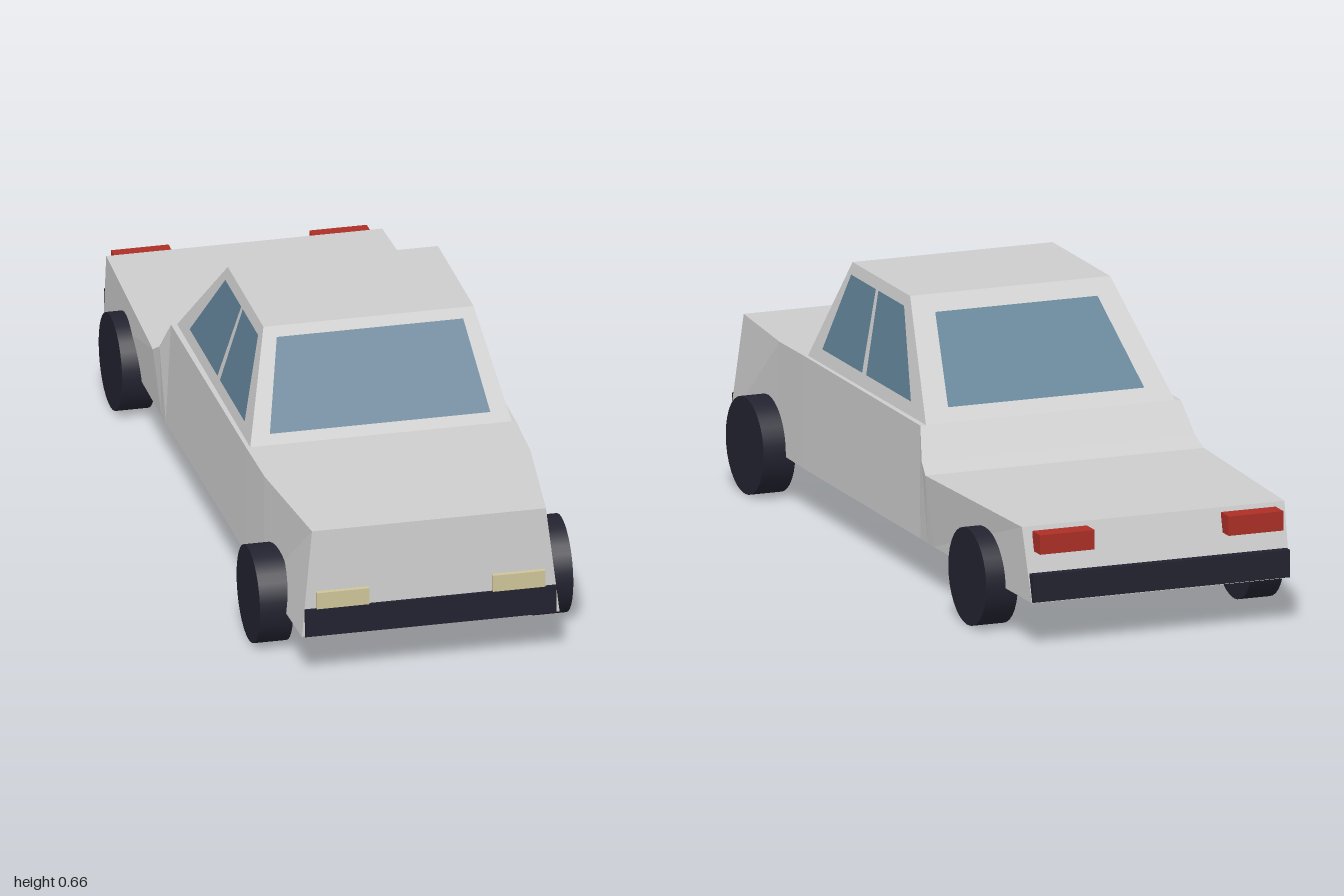
import * as THREE from 'three';

const mat = (name, color) => {
  const m = new THREE.MeshStandardMaterial({ color });
  m.name = name;
  return m;
};

// Flat-shaded geometry from four-cornered faces, corners counter-clockwise
function quads(faces) {
  const pos = [];
  for (const [a, b, c, d] of faces) pos.push(...a, ...b, ...c, ...a, ...c, ...d);
  const g = new THREE.BufferGeometry();
  g.setAttribute('position', new THREE.Float32BufferAttribute(pos, 3));
  g.computeVertexNormals();
  return g;
}

// Loft four-cornered sections from front to back.
// Section: [bottom z, bottom half width, top z, top half width, top y]
function loft(yBottom, sections) {
  const rings = sections.map(([zb, wb, zt, wt, yt]) => [
    [-wb, yBottom, zb], [wb, yBottom, zb], [wt, yt, zt], [-wt, yt, zt],
  ]);
  const faces = [rings[0], [...rings[rings.length - 1]].reverse()];
  for (let i = 0; i < rings.length - 1; i++) {
    for (let k = 0; k < 4; k++) {
      const n = (k + 1) % 4;
      faces.push([rings[i][k], rings[i + 1][k], rings[i + 1][n], rings[i][n]]);
    }
  }
  return quads(faces);
}

// Thin pane lifted slightly off the surface it lies on
function pane(corners, lift = 0.003) {
  const [a, b, c] = corners.map((p) => new THREE.Vector3(...p));
  const n = b.clone().sub(a).cross(c.clone().sub(a)).normalize().multiplyScalar(lift);
  return quads([corners.map(([x, y, z]) => [x + n.x, y + n.y, z + n.z])]);
}

export function createModel() {
  const paint = mat('silver paint', 0xcccccc);
  const glass = mat('blue glass', 0x5f7f94);
  const dark = mat('dark rubber', 0x222230);
  const lamp = mat('cream lamp', 0xcec498);
  const red = mat('red lamp', 0xac2f27);

  const car = new THREE.Group();
  car.name = 'car';
  const add = (name, geometry, material) => {
    const mesh = new THREE.Mesh(geometry, material);
    mesh.name = name;
    car.add(mesh);
    return mesh;
  };
  const box = (name, material, x, [y0, y1], [z0, z1], width) =>
    add(name, new THREE.BoxGeometry(width, y1 - y0, z1 - z0), material)
      .position.set(x, (y0 + y1) / 2, (z0 + z1) / 2);

  // Lower body: bonnet, shoulder and the dropped rear deck
  add('body', loft(0.115, [
    [0.995, 0.325, 0.977, 0.295, 0.387],
    [0.65, 0.335, 0.65, 0.335, 0.396],
    [0.48, 0.34, 0.48, 0.34, 0.4],
    [-0.28, 0.345, -0.28, 0.345, 0.4],
    [-0.33, 0.346, -0.33, 0.362, 0.322],
    [-0.37, 0.347, -0.37, 0.369, 0.297],
    [-0.99, 0.342, -0.94, 0.348, 0.297],
  ]), paint);

  // Cabin
  add('cabin', loft(0.399, [
    [0.48, 0.33, 0.35, 0.265, 0.66],
    [-0.28, 0.33, -0.02, 0.265, 0.66],
  ]), paint);

  // Front and rear glass
  const frontZ = (y) => 0.48 - (y - 0.4) * 0.5;
  const rearZ = (y) => -0.28 + (y - 0.4);
  add('windscreen', pane([
    [-0.278, 0.425, frontZ(0.425)], [0.278, 0.425, frontZ(0.425)],
    [0.235, 0.635, frontZ(0.635)], [-0.235, 0.635, frontZ(0.635)],
  ]), glass);
  add('rearWindow', pane([
    [0.26, 0.43, rearZ(0.43)], [-0.26, 0.43, rearZ(0.43)],
    [-0.215, 0.622, rearZ(0.622)], [0.215, 0.622, rearZ(0.622)],
  ]), glass);

  for (const [side, s] of [['left', 1], ['right', -1]]) {
    // Side windows as z at bottom front, bottom rear, top rear, top front
    const windows = { FrontWindow: [0.4, 0.144, 0.176, 0.335], RearWindow: [0.118, -0.17, -0.005, 0.16] };
    for (const [name, zs] of Object.entries(windows)) {
      const corners = zs.map((z, i) => {
        const y = i < 2 ? 0.433 : 0.632;
        return [s * (0.33 - (y - 0.4) * 0.25), y, z];
      });
      add(side + name, pane(s > 0 ? corners : corners.reverse()), glass);
    }

    // Wheels
    for (const [end, z] of [['Front', 0.728], ['Rear', -0.703]]) {
      const wheel = new THREE.CylinderGeometry(0.122, 0.122, 0.084, 32).rotateZ(Math.PI / 2);
      add(side + end + 'Wheel', wheel, dark).position.set(s * 0.353, 0.122, z);
    }

    // Lamps
    box(side + 'Headlight', lamp, s * 0.222, [0.187, 0.23], [0.975, 1.0], 0.132);
    box(side + 'TailLight', red, s * 0.25, [0.237, 0.286], [-0.995, -0.945], 0.145);
  }

  // Bumpers
  box('frontBumper', dark, 0, [0.114, 0.186], [0.97, 0.998], 0.634);
  box('rearBumper', dark, 0, [0.117, 0.186], [-0.994, -0.95], 0.682);

  return car;
}
